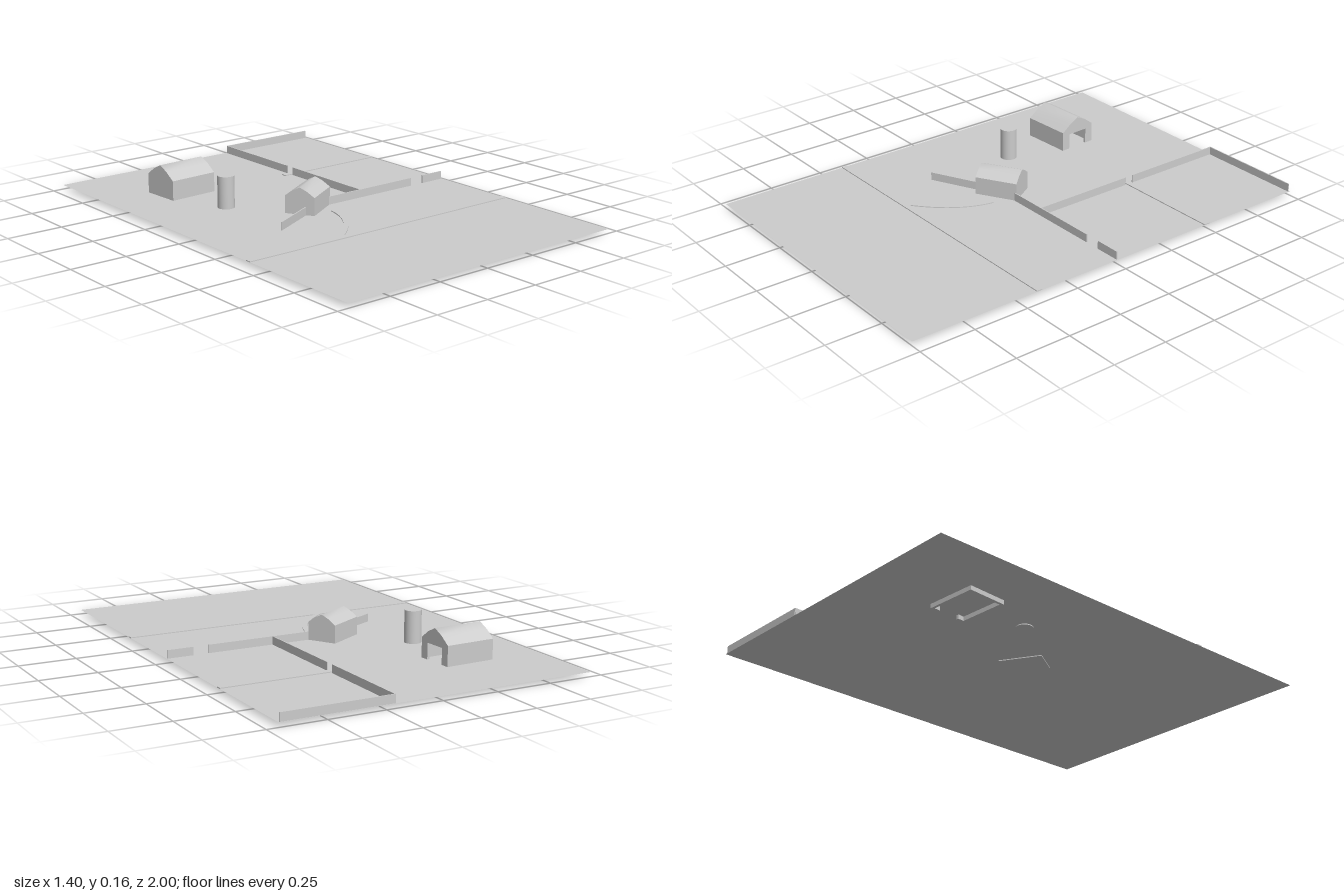
import * as THREE from 'three';
import { toCreasedNormals } from 'three/addons/utils/BufferGeometryUtils.js';

const GROUND = 0.019;
const material = new THREE.MeshStandardMaterial({ color: 0xcccccc, side: THREE.DoubleSide });

function add(parent, name, geometry, x = 0, y = 0, z = 0) {
  const mesh = new THREE.Mesh(geometry, material);
  mesh.name = name;
  mesh.position.set(x, y, z);
  parent.add(mesh);
  return mesh;
}

// Gable outline: half width w, base, eave and ridge heights, slightly bowed roof
function gablePoints(w, base, eave, ridge) {
  const mid = eave + (ridge - eave) * 0.6;
  return [[-w, base], [w, base], [w, eave], [w / 2, mid], [0, ridge], [-w / 2, mid], [-w, eave]]
    .map(([x, y]) => new THREE.Vector2(x, y));
}

// Extrude a cross-section along x, centred at the given offset
function alongX(shape, length, offset = 0) {
  const geometry = new THREE.ExtrudeGeometry(shape, { depth: length, bevelEnabled: false });
  geometry.translate(0, 0, -length / 2).rotateY(Math.PI / 2).translate(offset, 0, 0);
  return toCreasedNormals(geometry, 0.921);
}

// Thin upright wall between two ground points
function fence(parent, name, x1, z1, x2, z2) {
  const dx = x2 - x1, dz = z2 - z1;
  const geometry = new THREE.BoxGeometry(Math.hypot(dx, dz), 0.036, 0.005);
  const mesh = add(parent, name, geometry, (x1 + x2) / 2, GROUND + 0.018, (z1 + z2) / 2);
  mesh.rotation.y = Math.atan2(-dz, dx);
}

// Low flat strip following a curve in plan (curve y holds -z)
function track(parent, name, curve, width, steps) {
  const left = [], right = [];
  for (let i = 0; i <= steps; i++) {
    const p = curve.getPoint(i / steps), t = curve.getTangent(i / steps);
    const n = new THREE.Vector2(-t.y, t.x).multiplyScalar(width / 2);
    left.push(p.clone().add(n));
    right.unshift(p.clone().sub(n));
  }
  const geometry = new THREE.ExtrudeGeometry(new THREE.Shape([...left, ...right]), { depth: 0.004, bevelEnabled: false });
  add(parent, name, geometry.rotateX(-Math.PI / 2), 0, GROUND, 0);
}

export function createModel() {
  const farm = new THREE.Group();
  farm.name = 'farmyard';

  add(farm, 'ground', new THREE.PlaneGeometry(1.4, 2).rotateX(-Math.PI / 2), 0, GROUND, 0);

  // Hollow barn: shell, closed back wall and front wall with a doorway
  const barn = new THREE.Group();
  barn.name = 'barn';
  barn.position.set(-0.348, 0, -0.569);
  barn.rotation.y = 0.05;
  farm.add(barn);
  const length = 0.228, t = 0.012;
  const outer = gablePoints(0.09, 0, 0.107, 0.162);
  const inner = gablePoints(0.09 - t, 0, 0.101, 0.148);
  const shell = new THREE.Shape([...outer.slice(1), outer[0], inner[0], ...inner.slice(2).reverse(), inner[1]]);
  add(barn, 'barnShell', alongX(shell, length));
  add(barn, 'barnBackWall', alongX(new THREE.Shape(inner), t, -length / 2 + t / 2));
  const door = [[-0.05, 0], [-0.05, 0.09], [0.05, 0.09], [0.05, 0]].map(([x, y]) => new THREE.Vector2(x, y));
  const frontWall = new THREE.Shape([inner[0], ...door, ...inner.slice(1)]);
  add(barn, 'barnDoorWall', alongX(frontWall, t, length / 2 - t / 2));

  // House
  const house = add(farm, 'house', alongX(new THREE.Shape(gablePoints(0.0665, 0.015, 0.098, 0.138)), 0.19), -0.076, 0, -0.011);
  house.rotation.y = 0.535;

  // Silo
  add(farm, 'silo', new THREE.CylinderGeometry(0.037, 0.037, 0.147, 32), -0.334, 0.0885, -0.25);

  // Yard and paddock fences with gate gaps
  fence(farm, 'sideFence', -0.355, 0.165, -0.14, 0.058);
  fence(farm, 'frontFence', 0.03, 0, 0.51, 0);
  fence(farm, 'frontFenceEnd', 0.58, 0, 0.695, 0);
  fence(farm, 'paddockFenceFront', 0.21, 0, 0.21, -0.477);
  fence(farm, 'paddockFenceBack', 0.21, -0.517, 0.21, -0.994);
  fence(farm, 'backFence', 0.21, -0.994, 0.695, -0.994);

  // Road, field path and curved driveway
  const v = (x, z) => new THREE.Vector2(x, -z);
  track(farm, 'road', new THREE.LineCurve(v(-0.7, 0.4), v(0.7, 0.4)), 0.027, 1);
  track(farm, 'fieldPath', new THREE.LineCurve(v(0.17, -0.497), v(0.7, -0.497)), 0.027, 1);
  track(farm, 'driveway', new THREE.QuadraticBezierCurve(v(-0.24, 0.4), v(-0.04, 0.26), v(-0.015, 0.085)), 0.02, 16);

  return farm;
}
